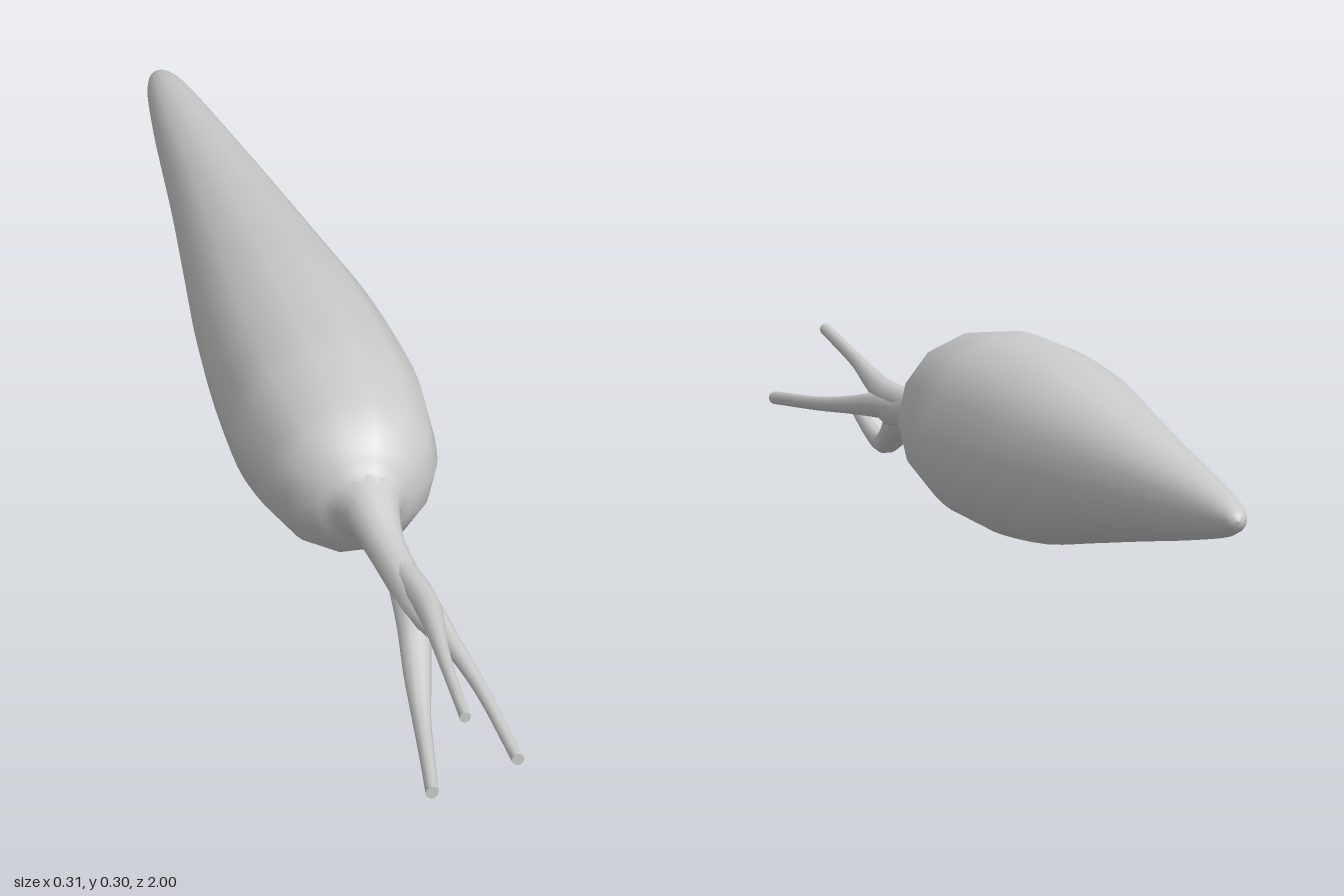
import * as THREE from 'three';

const material = new THREE.MeshStandardMaterial({ color: 0xcccccc });

// Smooth skin over rings facing z; stations are [x, y, z, radius] with z rising.
function loft(name, stations, sides, steps, lumps = () => 1) {
  const path = new THREE.CatmullRomCurve3(
    stations.map(([x, y, z]) => new THREE.Vector3(x, y, z)), false, 'catmullrom', 0.5);
  const radii = new THREE.SplineCurve(stations.map((s) => new THREE.Vector2(s[3], 0)));
  const rings = (stations.length - 1) * steps;
  const positions = [], index = [];
  for (let i = 0; i <= rings; i++) {
    const c = path.getPoint(i / rings);
    const r = Math.max(radii.getPoint(i / rings).x, 0.0005);
    for (let j = 0; j < sides; j++) {
      const a = (j / sides) * Math.PI * 2;
      const rr = r * lumps(a);
      positions.push(c.x + rr * Math.cos(a), c.y + rr * Math.sin(a), c.z);
      if (i < rings) {
        const k = (j + 1) % sides;
        const p = i * sides + j, q = i * sides + k;
        index.push(p, q, p + sides, q, q + sides, p + sides);
      }
    }
  }
  const geometry = new THREE.BufferGeometry();
  geometry.setAttribute('position', new THREE.Float32BufferAttribute(positions, 3));
  geometry.setIndex(index);
  geometry.computeVertexNormals();
  const mesh = new THREE.Mesh(geometry, material);
  mesh.name = name;
  return mesh;
}

export function createModel() {
  const model = new THREE.Group();
  model.name = 'carrot';

  // Tapered root, slightly out of round, closing into the crown
  const root = [
    [-0.005, 0.158, -1, 0.0005], [-0.005, 0.158, -0.993, 0.014], [-0.005, 0.158, -0.97, 0.024],
    [-0.004, 0.158, -0.92, 0.036], [-0.003, 0.157, -0.8, 0.055], [0, 0.156, -0.6, 0.083],
    [0, 0.155, -0.4, 0.112], [0, 0.154, -0.2, 0.14], [0, 0.154, 0, 0.153],
    [0, 0.154, 0.1, 0.151], [0, 0.154, 0.2, 0.136], [0, 0.154, 0.25, 0.115],
    [0, 0.154, 0.285, 0.085], [0, 0.154, 0.305, 0.058], [0.001, 0.154, 0.34, 0.042],
  ];
  model.add(loft('root', root, 14, 3, (a) => 1 + 0.008 * Math.sin(3 * a) + 0.006 * Math.cos(5 * a + 1)));

  // Short common stem
  model.add(loft('stem', [
    [0, 0.154, 0.29, 0.06], [0.001, 0.154, 0.34, 0.042], [0.004, 0.138, 0.41, 0.031],
    [0.012, 0.126, 0.5, 0.028], [0.018, 0.118, 0.57, 0.026], [0.02, 0.116, 0.64, 0.01],
  ], 12, 4));

  // Three stalks splitting off the stem, with flat cut ends
  const stalks = {
    upperStalk: [[0.01, 0.135, 0.45, 0.02], [0.022, 0.14, 0.58, 0.021], [0.014, 0.149, 0.68, 0.016],
      [0, 0.162, 0.8, 0.011], [-0.018, 0.182, 1, 0.009]],
    leftStalk: [[0.012, 0.13, 0.45, 0.02], [0.028, 0.124, 0.58, 0.021], [0.044, 0.112, 0.68, 0.015],
      [0.06, 0.098, 0.8, 0.011], [0.07, 0.083, 0.98, 0.01]],
    rightStalk: [[0.01, 0.125, 0.45, 0.02], [0.006, 0.098, 0.57, 0.026], [-0.009, 0.062, 0.66, 0.022],
      [-0.027, 0.04, 0.76, 0.015], [-0.048, 0.044, 0.88, 0.012], [-0.07, 0.056, 1, 0.0105]],
  };
  for (const [name, stations] of Object.entries(stalks)) {
    const [x, y, z, r] = stations[stations.length - 1];
    const cut = new THREE.Mesh(new THREE.CircleGeometry(r, 10), material);
    cut.name = name + 'End';
    cut.position.set(x, y, z);
    model.add(loft(name, stations, 10, 5), cut);
  }
  return model;
}
